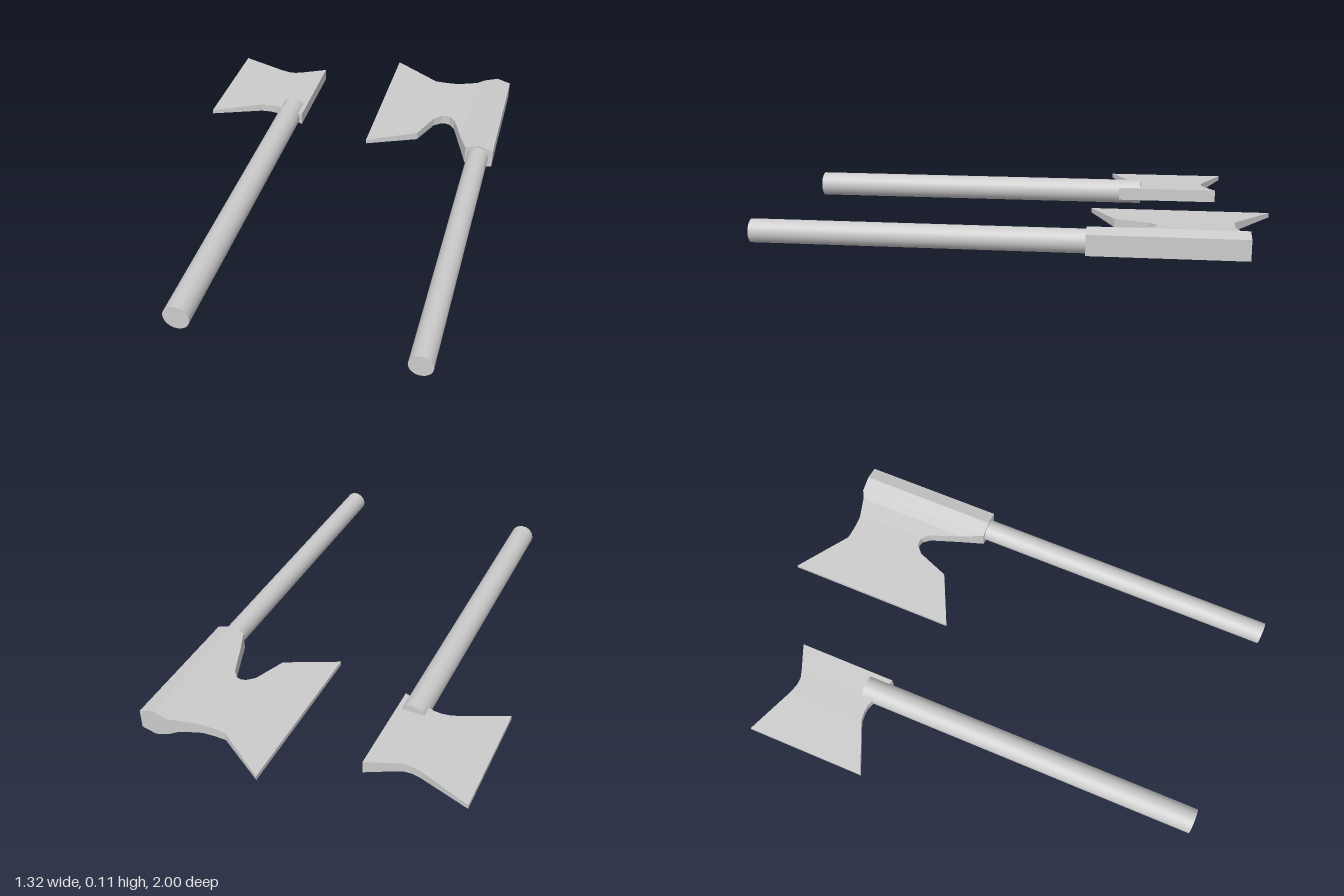
import * as THREE from 'three';

const MID = 0.057; // height of the shared centre plane
const material = new THREE.MeshStandardMaterial({ color: 0xcccccc, flatShading: true });
const smooth = new THREE.MeshStandardMaterial({ color: 0xcccccc });

// Axe head lofted along x; each station is [x, back z, front z, half thickness]
function axeHead(name, stations) {
  const pos = [], index = [];
  for (const [x, zb, zf, h] of stations) {
    pos.push(x, h, zb, x, h, zf, x, -h, zf, x, -h, zb);
  }
  const last = (stations.length - 1) * 4;
  for (let s = 0; s < last; s += 4) {
    for (let k = 0; k < 4; k++) {
      const a = s + k, b = s + (k + 1) % 4;
      index.push(a, b, b + 4, a, b + 4, a + 4);
    }
  }
  // cutting edge and poll caps
  index.push(0, 3, 2, 0, 2, 1, last, last + 1, last + 2, last, last + 2, last + 3);
  const indexed = new THREE.BufferGeometry();
  indexed.setAttribute('position', new THREE.Float32BufferAttribute(pos, 3));
  indexed.setIndex(index);
  const geometry = indexed.toNonIndexed();
  geometry.computeVertexNormals();
  const mesh = new THREE.Mesh(geometry, material);
  mesh.name = name;
  mesh.position.y = MID;
  return mesh;
}

// Round handle lying along z
function handle(name, x, radius, zBack, zFront) {
  const geometry = new THREE.CylinderGeometry(radius, radius, zFront - zBack, 24);
  geometry.rotateX(Math.PI / 2);
  const mesh = new THREE.Mesh(geometry, smooth);
  mesh.name = name;
  mesh.position.set(x, MID, (zFront + zBack) / 2);
  return mesh;
}

export function createModel() {
  const model = new THREE.Group();
  model.name = 'axes';

  // Small axe: handle pokes out through the head
  const smallAxe = new THREE.Group();
  smallAxe.name = 'smallAxe';
  smallAxe.add(
    axeHead('smallAxeHead', [
      [-0.66, -0.84, -0.33, 0.009],
      [-0.45, -0.755, -0.425, 0.017],
      [-0.41, -0.745, -0.43, 0.018],
      [-0.38, -0.745, -0.428, 0.019],
      [-0.35, -0.755, -0.417, 0.02],
      [-0.24, -0.8, -0.378, 0.026],
    ]),
    handle('smallAxeHandle', -0.305, 0.052, -0.47, 1),
  );

  // Large axe: bearded blade with a thick socket around the handle
  const largeAxe = new THREE.Group();
  largeAxe.name = 'largeAxe';
  largeAxe.add(
    axeHead('largeAxeHead', [
      [0.09, -1, -0.275, 0.009],
      [0.303, -0.85, -0.38, 0.017],
      [0.355, -0.845, -0.515, 0.019],
      [0.385, -0.845, -0.543, 0.02],
      [0.405, -0.845, -0.548, 0.021],
      [0.425, -0.848, -0.543, 0.022],
      [0.45, -0.855, -0.515, 0.024],
      [0.5, -0.868, -0.38, 0.028],
      [0.535, -0.885, -0.29, 0.038],
      [0.595, -0.885, -0.29, 0.057],
      [0.655, -0.885, -0.29, 0.04],
    ]),
    handle('largeAxeHandle', 0.591, 0.046, -0.3, 1),
  );

  model.add(smallAxe, largeAxe);
  return model;
}
